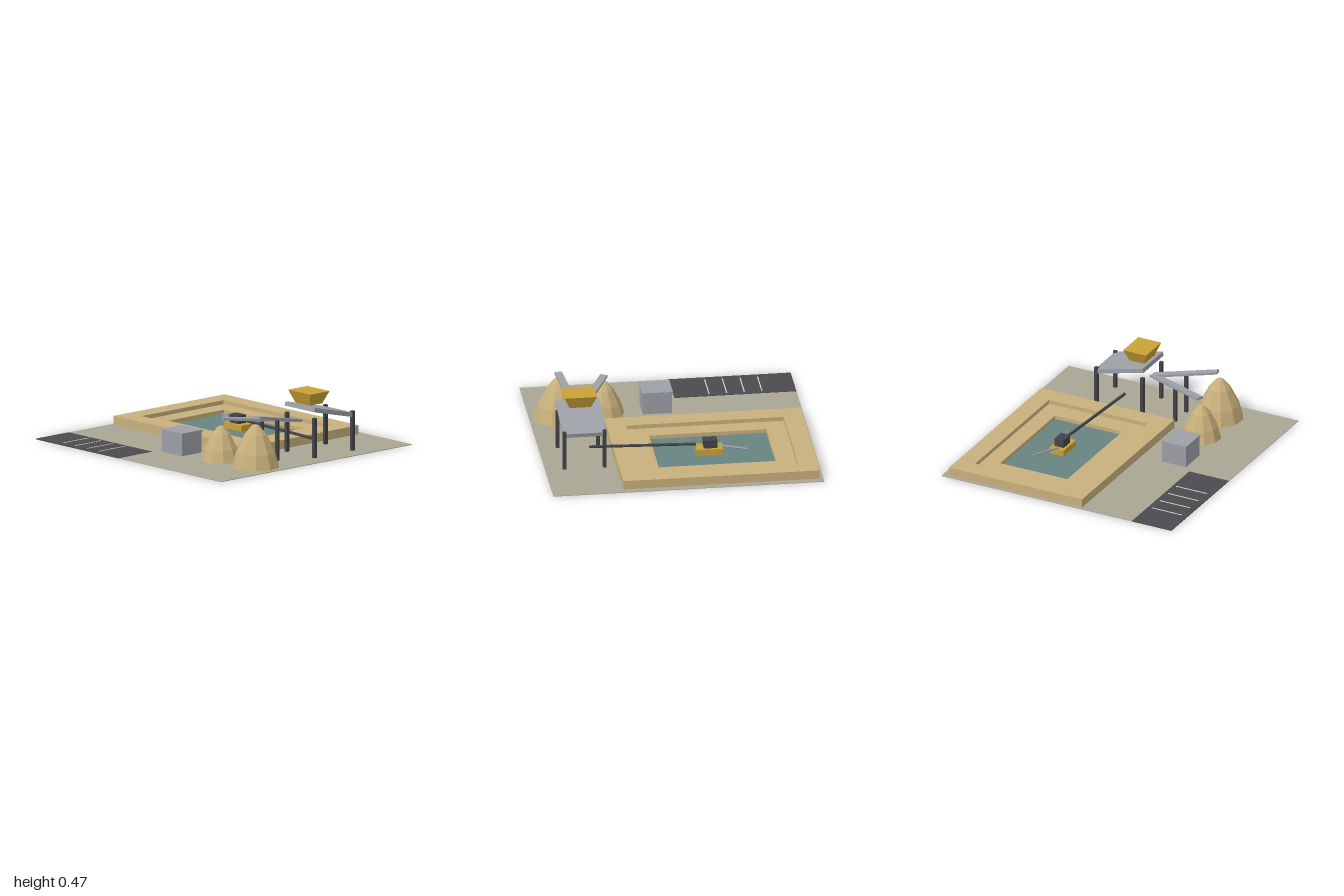
import * as THREE from 'three';

const mat = (name, color, flat = false) => {
  const m = new THREE.MeshStandardMaterial({ color, flatShading: flat });
  m.name = name;
  return m;
};

export function createModel() {
  const group = new THREE.Group();
  const M = {
    ground: mat('gravel', 0xaaa694),
    sand: mat('sand', 0xc8b07c, true),
    water: mat('water', 0x688480),
    asphalt: mat('asphalt', 0x4a4a4f),
    steel: mat('steel', 0x9c9fa6),
    dark: mat('darkSteel', 0x434348),
    yellow: mat('yellowPaint', 0xc9a136),
    line: mat('linePaint', 0xd6d3c6),
  };
  const add = (name, geo, material) => {
    const mesh = new THREE.Mesh(geo, material);
    mesh.name = name;
    group.add(mesh);
    return mesh;
  };
  // box given by its extents
  const box = (name, material, x0, x1, y0, y1, z0, z1) => {
    const mesh = add(name, new THREE.BoxGeometry(x1 - x0, y1 - y0, z1 - z0), material);
    mesh.position.set((x0 + x1) / 2, (y0 + y1) / 2, (z0 + z1) / 2);
    return mesh;
  };
  // plan outline [x, z] with an optional hole, raised from y0 to y1
  const plate = (name, material, pts, hole, y0, y1) => {
    const toV = (p) => p.map(([x, z]) => new THREE.Vector2(x, -z));
    const shape = new THREE.Shape(toV(pts));
    shape.holes.push(new THREE.Path(toV(hole)));
    const geo = new THREE.ExtrudeGeometry(shape, { depth: y1 - y0, bevelEnabled: false });
    geo.rotateX(-Math.PI / 2).translate(0, y0, 0);
    return add(name, geo, material);
  };
  const rect = (x0, x1, z0, z1) => [[x0, z1], [x1, z1], [x1, z0], [x0, z0]];
  // stretch a geometry lying along z between two points
  const span = (name, material, geo, a, b) => {
    const mesh = add(name, geo, material);
    mesh.position.copy(a).add(b).multiplyScalar(0.5);
    mesh.lookAt(b);
    return mesh;
  };
  const V = (x, y, z) => new THREE.Vector3(x, y, z);
  const pipe = (name, material, r, a, b) =>
    span(name, material, new THREE.CylinderGeometry(r, r, a.distanceTo(b), 8).rotateX(Math.PI / 2), a, b);

  // site ground and car park
  const pond = rect(-0.685, 0.18, -0.63, -0.075);
  plate('ground', M.ground,
    [[-1, 0.625], [-0.1, 0.625], [-0.1, 0.95], [1, 0.95], [1, -0.95], [-1, -0.95]], pond, 0, 0.004);
  box('carPark', M.asphalt, -1, -0.1, 0, 0.006, 0.625, 0.95);
  for (const x of [-0.75, -0.62, -0.49, -0.36])
    box('parkingLine', M.line, x - 0.004, x + 0.004, 0.006, 0.009, 0.655, 0.905);

  // stepped pit with pond
  const ledge = rect(-0.83, 0.33, -0.76, 0.055);
  plate('pitRim', M.sand, rect(-0.975, 0.475, -0.9, 0.2), ledge, 0.004, 0.07);
  plate('pitLedge', M.sand, ledge, pond, 0.004, 0.04);
  box('pond', M.water, -0.685, 0.18, 0, 0.012, -0.63, -0.075);

  // dredger
  box('dredgerHull', M.yellow, -0.325, -0.13, 0.012, 0.058, -0.41, -0.295);
  box('dredgerCabin', M.dark, -0.285, -0.185, 0.058, 0.12, -0.39, -0.315);
  pipe('suctionArm', M.steel, 0.008, V(-0.3, 0.062, -0.35), V(-0.5, 0.065, -0.45));
  pipe('dischargePipe', M.dark, 0.011, V(-0.13, 0.084, -0.355), V(0.65, 0.084, -0.303));

  // screening deck on legs
  const deck = box('screenDeck', M.steel, 0.55, 0.87, 0.3, 0.332, -0.5, -0.095);
  deck.rotation.x = -0.235;
  for (const x of [0.562, 0.858])
    for (const z of [-0.49, -0.11])
      box('deckLeg', M.dark, x - 0.013, x + 0.013, 0.004, 0.3, z - 0.013, z + 0.013);

  // hopper: box narrowed at its foot
  const hopperGeo = new THREE.BoxGeometry(0.24, 0.093, 0.19);
  const p = hopperGeo.attributes.position;
  for (let i = 0; i < p.count; i++)
    if (p.getY(i) < 0) p.setXYZ(i, p.getX(i) * 0.66, p.getY(i), p.getZ(i) * 0.64);
  hopperGeo.computeVertexNormals();
  add('hopper', hopperGeo, M.yellow).position.set(0.71, 0.4265, -0.19);

  // conveyors, each with a support at mid length
  const conveyors = [
    [V(0.705, 0.262, -0.1), V(0.447, 0.31, 0.425), 0.28],
    [V(0.705, 0.262, -0.1), V(0.787, 0.368, 0.395), 0.306],
  ];
  for (const [a, b, top] of conveyors) {
    span('conveyor', M.steel, new THREE.BoxGeometry(0.055, 0.018, a.distanceTo(b)), a, b);
    const x = (a.x + b.x) / 2, z = 0.155;
    box('conveyorSupport', M.dark, x - 0.012, x + 0.012, 0.004, top, z - 0.012, z + 0.012);
  }

  // sand piles
  const profile = [[1, 0], [0.82, 0.35], [0.45, 0.77], [0.15, 0.975], [0, 1]];
  for (const [x, z, r, h, turn] of [
    [0.445, 0.438, 0.15, 0.26, 0.314],
    [0.787, 0.41, 0.18, 0.32, 0.22],
  ]) {
    const geo = new THREE.LatheGeometry(profile.map(([a, b]) => new THREE.Vector2(a * r, 0.003 + b * (h - 0.003))), 10);
    const pile = add('sandPile', geo, M.sand);
    pile.position.set(x, 0, z);
    pile.rotation.y = turn;
  }

  // site office with flat roof
  box('siteOffice', M.steel, -0.05, 0.166, 0.004, 0.163, 0.374, 0.57);
  box('officeRoof', M.steel, -0.056, 0.172, 0.163, 0.174, 0.368, 0.576);

  return group;
}
